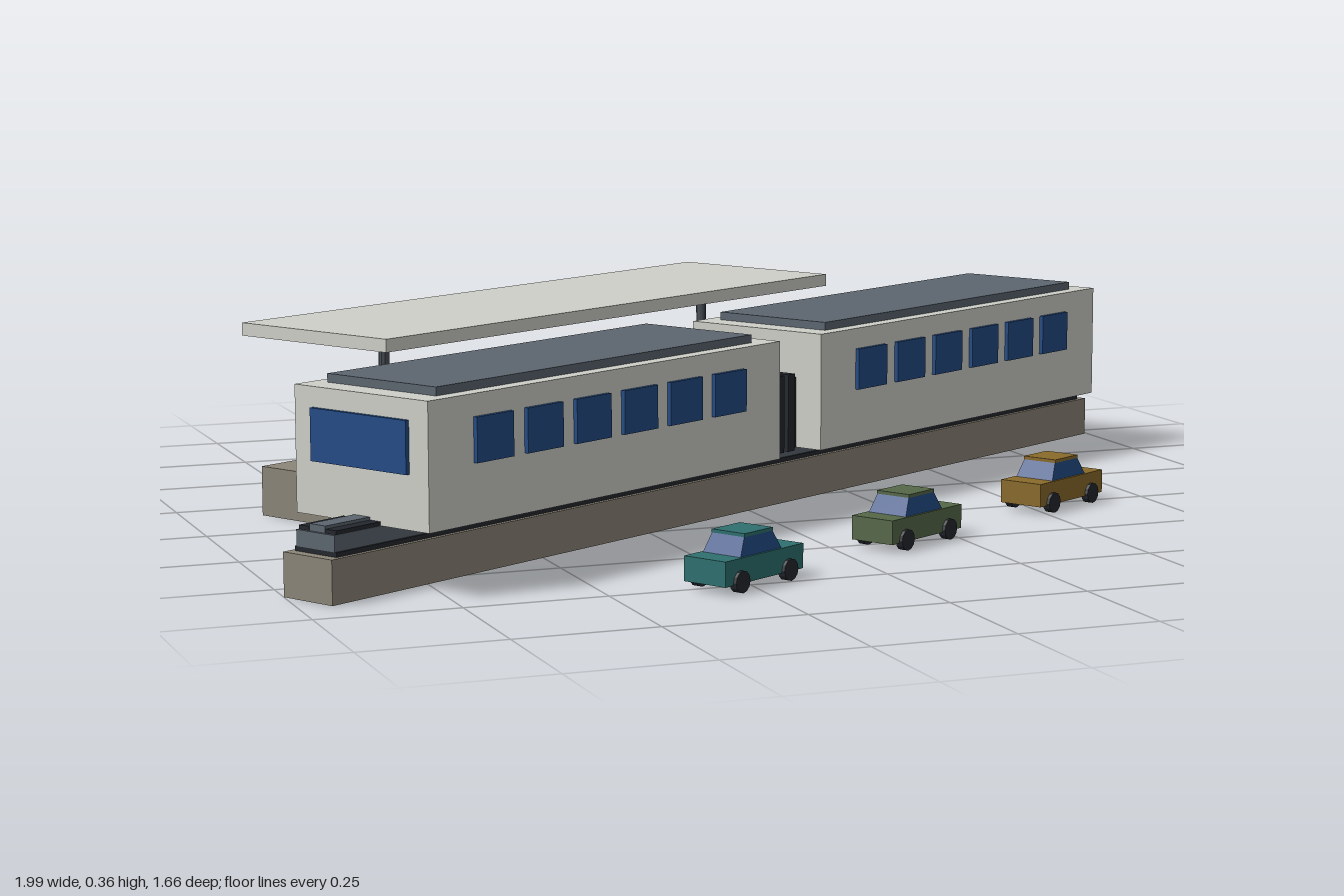
import * as THREE from 'three';

const paint = (color) => new THREE.MeshStandardMaterial({ color, flatShading: true });
const M = {
  shell: paint(0xcfd0c8),
  roof: paint(0x5c6670),
  concrete: paint(0x8c8678),
  glass: paint(0x234b85),
  dark: paint(0x23272d),
  lamp: paint(0xe0dcc0),
  post: paint(0x4a5058),
};

function add(parent, name, geometry, material, x = 0, y = 0, z = 0) {
  const mesh = new THREE.Mesh(geometry, material);
  mesh.name = name;
  mesh.position.set(x, y, z);
  parent.add(mesh);
  return mesh;
}

// box given by its extents along each axis
function block(parent, name, material, [x0, x1], [y0, y1], [z0, z1]) {
  const g = new THREE.BoxGeometry(x1 - x0, y1 - y0, z1 - z0);
  return add(parent, name, g, material, (x0 + x1) / 2, (y0 + y1) / 2, (z0 + z1) / 2);
}

// box whose top is narrower than its base
function taperedBox(w, h, d, topX, topZ) {
  const g = new THREE.BoxGeometry(w, h, d);
  const p = g.attributes.position;
  for (let i = 0; i < p.count; i++) {
    if (p.getY(i) > 0) {
      p.setX(i, p.getX(i) * topX);
      p.setZ(i, p.getZ(i) * topZ);
    }
  }
  g.computeVertexNormals();
  return g;
}

// one carriage, centred on its own origin; outer = side of the end window
function createCarriage(outer) {
  const car = new THREE.Group();
  car.name = 'carriage';
  block(car, 'carriageBody', M.shell, [-0.465, 0.465], [0.112, 0.33], [-0.153, 0.153]);
  block(car, 'roofPanel', M.roof, [-0.416, 0.416], [0.33, 0.345], [-0.125, 0.125]);
  for (const side of [-1, 1]) {
    for (let i = 0; i < 6; i++) {
      add(car, 'sideWindow', new THREE.BoxGeometry(0.09, 0.077, 0.016), M.glass,
        (i - 2.5) * 0.1247, 0.253, side * 0.153);
    }
  }
  add(car, 'endWindow', new THREE.BoxGeometry(0.016, 0.09, 0.22), M.glass, outer * 0.465, 0.25, 0);
  return car;
}

// small parked road car, facing +x
function createRoadCar(color) {
  const car = new THREE.Group();
  car.name = 'roadCar';
  const body = paint(color);
  block(car, 'carBody', body, [-0.105, 0.105], [0.015, 0.058], [-0.044, 0.044]);
  add(car, 'cabinGlass', taperedBox(0.11, 0.032, 0.08, 0.68, 0.85), M.glass, -0.005, 0.074, 0);
  add(car, 'carRoof', new THREE.BoxGeometry(0.076, 0.006, 0.07), body, -0.005, 0.092, 0);
  for (const side of [-1, 1]) {
    for (const x of [-0.065, 0.065]) {
      const wheel = add(car, 'wheel', new THREE.CylinderGeometry(0.019, 0.019, 0.014, 12),
        M.dark, x, 0.019, side * 0.043);
      wheel.rotation.x = Math.PI / 2;
    }
    add(car, 'headlight', new THREE.BoxGeometry(0.006, 0.014, 0.02), M.lamp, 0.105, 0.043, side * 0.028);
  }
  return car;
}

export function createModel() {
  const model = new THREE.Group();
  model.name = 'monorailStation';
  const scene = new THREE.Group();
  scene.name = 'stationLayout';
  scene.rotation.y = Math.PI / 6;
  model.add(scene);

  // guideway beam and rail
  const track = new THREE.Group();
  track.name = 'track';
  track.position.set(-0.029, 0, 0.045);
  scene.add(track);
  block(track, 'guidewayBeam', M.concrete, [-1.119, 1.119], [0, 0.076], [-0.056, 0.056]);
  block(track, 'railBed', M.dark, [-1.1, 1.1], [0.076, 0.084], [-0.048, 0.048]);
  block(track, 'rail', M.roof, [-1.1, 1.1], [0.084, 0.112], [-0.044, 0.044]);
  for (const end of [-1, 1]) {
    const coupler = new THREE.Group();
    coupler.name = 'endCoupler';
    coupler.position.x = end * 1.04;
    track.add(coupler);
    block(coupler, 'couplerBlock', M.roof, [-0.055, 0.055], [0.112, 0.124], [-0.018, 0.018]);
    for (const s of [-1, 1]) {
      add(coupler, 'couplerStrip', new THREE.BoxGeometry(0.11, 0.008, 0.024), M.dark, 0, 0.115, s * 0.031);
    }
  }

  // two carriages joined by a ribbed gangway
  const train = new THREE.Group();
  train.name = 'train';
  train.position.set(-0.029, 0, 0.045);
  scene.add(train);
  for (const side of [-1, 1]) {
    const carriage = createCarriage(side);
    carriage.position.x = side * 0.527;
    train.add(carriage);
  }
  block(train, 'gangway', M.dark, [-0.064, 0.064], [0.112, 0.245], [-0.095, 0.095]);
  for (const x of [-0.032, 0, 0.032]) {
    add(train, 'gangwayRib', new THREE.BoxGeometry(0.02, 0.145, 0.215), M.dark, x, 0.182, 0);
  }

  // platform with a canopy on two posts
  const station = new THREE.Group();
  station.name = 'station';
  station.position.set(-0.024, 0, -0.42);
  scene.add(station);
  block(station, 'platform', M.concrete, [-0.635, 0.635], [0, 0.092], [-0.152, 0.152]);
  block(station, 'canopy', M.shell, [-0.647, 0.647], [0.334, 0.358], [-0.184, 0.184]);
  for (const x of [-0.465, 0.465]) {
    add(station, 'canopyPost', new THREE.CylinderGeometry(0.01, 0.01, 0.244, 10), M.post, x, 0.213, 0);
  }

  // parked road cars
  [0x2f7070, 0x566848, 0x8a6a2a].forEach((color, i) => {
    const car = createRoadCar(color);
    car.position.set(-0.588 + i * 0.466, 0, 0.508);
    scene.add(car);
  });

  return model;
}
